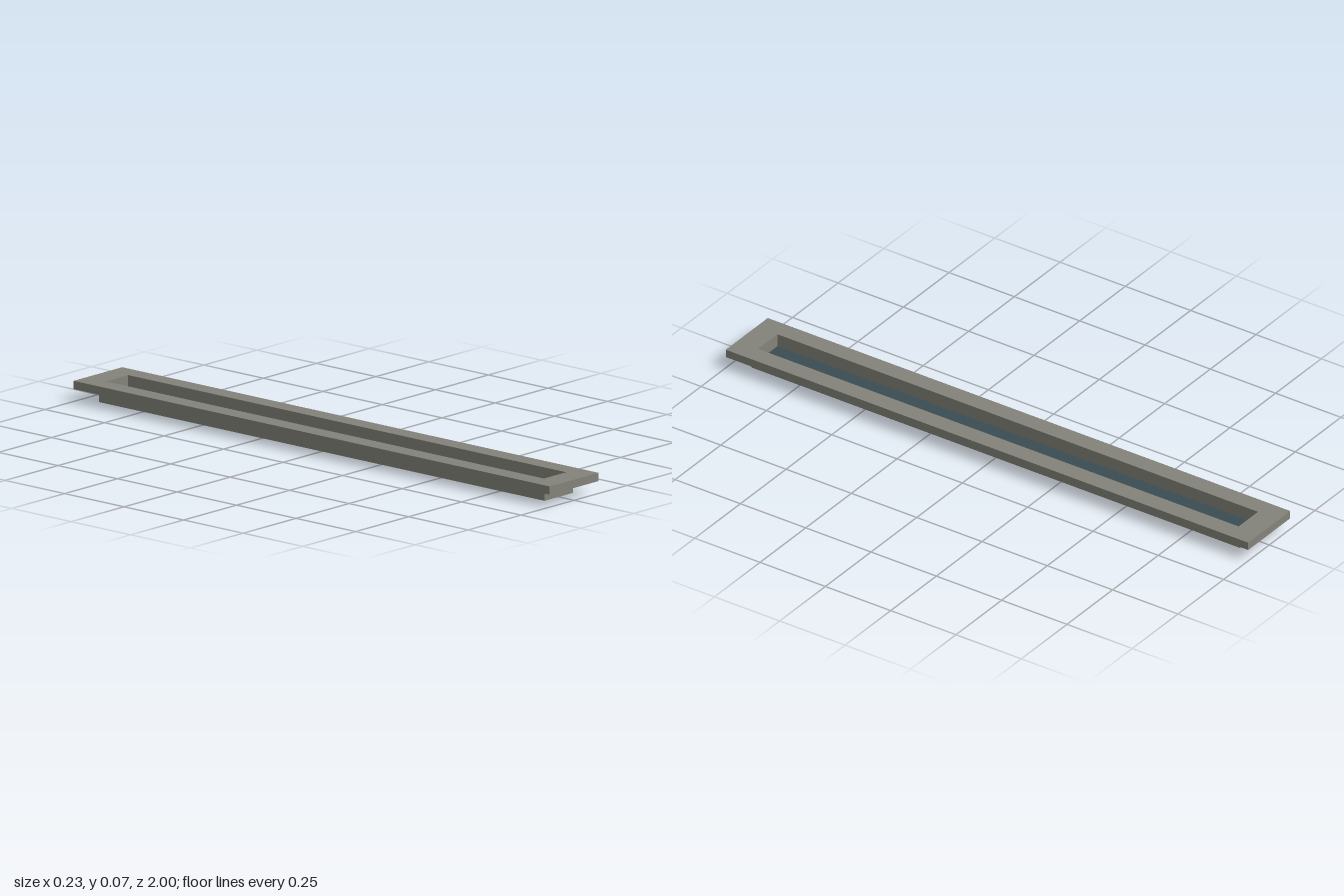
import * as THREE from 'three';

const stone = new THREE.MeshStandardMaterial({ color: 0x84837a });
stone.name = 'warm grey stone';
const slate = new THREE.MeshStandardMaterial({ color: 0x3b4c53 });
slate.name = 'blue slate';

const OPEN_X = 0.053, OPEN_Z = 0.92; // half sizes of the opening

function trace(path, hx, hz) {
  path.moveTo(-hx, -hz);
  path.lineTo(hx, -hz);
  path.lineTo(hx, hz);
  path.lineTo(-hx, hz);
  path.closePath();
  return path;
}

// Flat rectangular ring around the opening, between heights y0 and y1
function frame(name, hx, hz, y0, y1) {
  const shape = trace(new THREE.Shape(), hx, hz);
  shape.holes.push(trace(new THREE.Path(), OPEN_X, OPEN_Z));
  const geo = new THREE.ExtrudeGeometry(shape, { depth: y1 - y0, bevelEnabled: false });
  geo.rotateX(-Math.PI / 2).translate(0, y0, 0);
  const mesh = new THREE.Mesh(geo, stone);
  mesh.name = name;
  return mesh;
}

function slab(name, y0, y1, material) {
  const geo = new THREE.BoxGeometry(OPEN_X * 2, y1 - y0, OPEN_Z * 2);
  geo.translate(0, (y0 + y1) / 2, 0);
  const mesh = new THREE.Mesh(geo, material);
  mesh.name = name;
  return mesh;
}

export function createModel() {
  const model = new THREE.Group();
  model.name = 'recessedTrough';
  model.add(
    frame('rim', 0.115, 1, 0.04, 0.067),
    frame('troughWalls', 0.067, 0.935, 0, 0.04),
    slab('troughBase', 0, 0.015, stone),
    slab('insetPanel', 0.015, 0.023, slate), // dark panel lying in the trough
  );
  return model;
}
